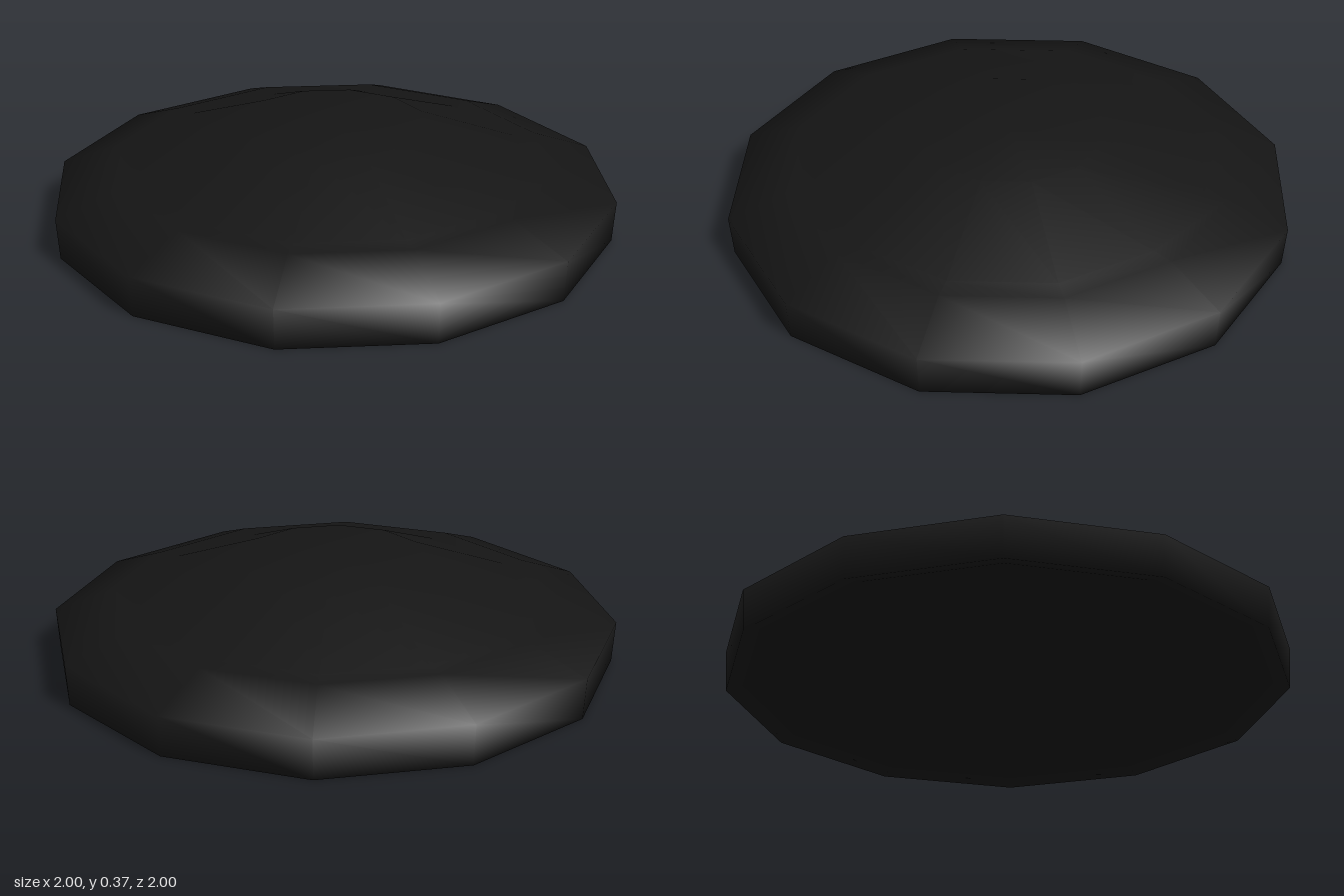
import * as THREE from 'three';

const SIDES = 12;

export function createModel() {
  const group = new THREE.Group();
  group.name = 'domedDisc';

  // Revolved [radius, height] profile, from the hollow underside to the top
  const profile = [
    [0, 0.27], [0.32, 0.27], [0.9, 0.03], // hollow underside
    [0.99, 0], [1, 0.145], // bottom lip and outer wall
    [0.78, 0.228], [0.7, 0.228], // bevel and flat ledge
    [0.33, 0.372], [0, 0.372], // raised crown with a flat top
  ].map(([r, y]) => new THREE.Vector2(r, y));

  const disc = new THREE.Mesh(
    new THREE.LatheGeometry(profile, SIDES),
    new THREE.MeshStandardMaterial({ color: 0x151515 }),
  );
  disc.name = 'disc';
  group.add(disc);

  return group;
}
